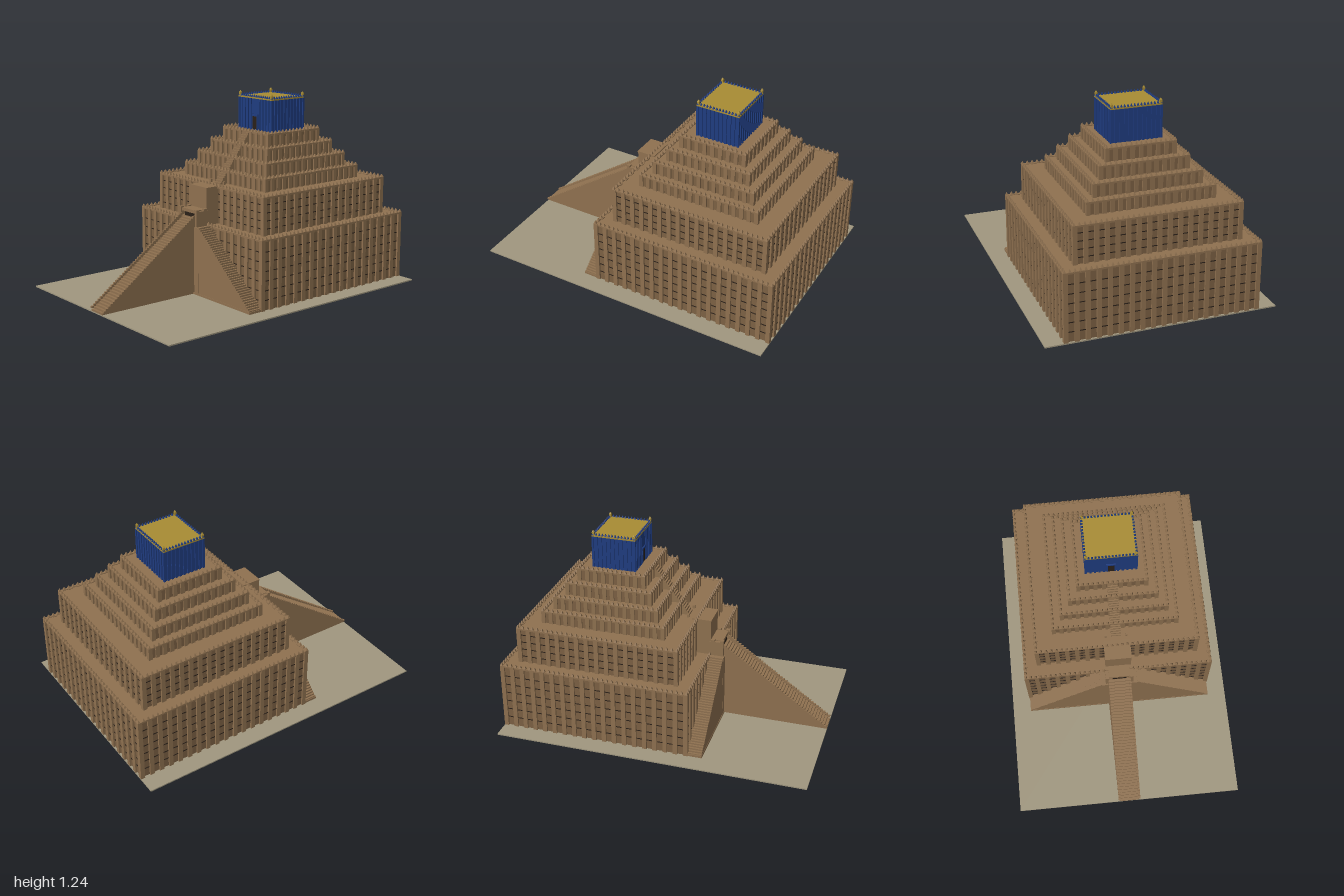
import * as THREE from 'three';
import { mergeGeometries } from 'three/addons/utils/BufferGeometryUtils.js';

const CZ = -0.385; // centre of the tower along z
const GROUND = 0.008;

const mat = (color) => new THREE.MeshStandardMaterial({ color, flatShading: true });
const BRICK = mat(0x8f7150), PANEL = mat(0x7c6144), DARK = mat(0x2a2018);
const BLUE = mat(0x1f3c80), GOLD = mat(0xa88c34), SAND = mat(0xa0977f);

// Box standing on height y
function box(w, h, d, x, y, z) {
  return new THREE.BoxGeometry(w, h, d).translate(x, y + h / 2, z);
}

// Pointed merlon standing on height y
function merlon(r, h, x, y, z) {
  return new THREE.CylinderGeometry(r * 0.2, r, h, 4).rotateY(Math.PI / 4).translate(x, y + h / 2, z);
}

// Merge pieces into one named mesh
function part(name, material, pieces) {
  const mesh = new THREE.Mesh(mergeGeometries(pieces.map((g) => (g.index ? g.toNonIndexed() : g))), material);
  mesh.name = name;
  return mesh;
}

// Evenly spaced places on a rectangle's outline: x, z and whether the side faces x
function outline(hx, hz, spacing) {
  const places = [];
  const nx = Math.round((2 * hx) / spacing), nz = Math.round((2 * hz) / spacing);
  for (const s of [-1, 1]) {
    for (let i = 0; i <= nx; i++) places.push([-hx + (2 * hx * i) / nx, CZ + s * hz, false]);
    for (let i = 0; i <= nz; i++) places.push([s * hx, CZ - hz + (2 * hz * i) / nz, true]);
  }
  return places;
}

// Four thin walls around a rectangle
function frame(hx, hz, t, h, y) {
  const out = [];
  for (const s of [-1, 1]) {
    out.push(box(2 * hx, h, t, 0, y, CZ + s * (hz - t / 2)));
    out.push(box(t, h, 2 * (hz - t), s * (hx - t / 2), y, CZ));
  }
  return out;
}

// Solid flight of steps climbing along +x, extruded along +z
function flight(n, run, rise, width) {
  const s = new THREE.Shape();
  s.moveTo(0, 0);
  for (let i = 0; i < n; i++) {
    s.lineTo((run * i) / n, (rise * (i + 1)) / n);
    s.lineTo((run * (i + 1)) / n, (rise * (i + 1)) / n);
  }
  s.lineTo(run, 0);
  return new THREE.ExtrudeGeometry(s, { depth: width, bevelEnabled: false });
}

// Same flight turned to climb toward -z, centred on x
function frontFlight(n, run, rise, width, x, y, z) {
  return flight(n, run, rise, width).rotateY(Math.PI / 2).translate(x - width / 2, y, z);
}

// One terrace: core, buttresses, joint lines, parapet and merlons
function tier(name, half, y0, y1, spacing, strip, depth, joint) {
  const g = new THREE.Group();
  g.name = name;
  const core = half - depth, h = y1 - y0;
  g.add(part(name + 'Core', PANEL, [box(2 * core, h - 0.008, 2 * core, 0, y0, CZ)]));

  const ribs = outline(core - strip / 2 + depth, core, spacing).filter((p) => !p[2]);
  const sides = outline(core, core - strip / 2 + depth, spacing).filter((p) => p[2]);
  g.add(part(name + 'Buttresses', BRICK, [...ribs, ...sides].map(([x, z, faceX]) =>
    box(faceX ? 2 * depth : strip, h, faceX ? strip : 2 * depth, x, y0, z))));

  if (joint) {
    const lines = [];
    for (let y = y0 + joint; y < y1 - 0.02; y += joint) lines.push(...frame(core + 0.003, core + 0.003, 0.008, 0.005, y));
    g.add(part(name + 'Joints', DARK, lines));
  }

  g.add(part(name + 'Deck', BRICK, [box(2 * core - 0.004, 0.004, 2 * core - 0.004, 0, y1 - 0.009, CZ)]));
  g.add(part(name + 'Parapet', BRICK, frame(half - 0.002, half - 0.002, 0.014, 0.012, y1 - 0.012)));
  g.add(part(name + 'Merlons', BRICK, outline(half - 0.009, half - 0.009, 0.032).map(([x, z]) =>
    merlon(0.013, 0.019, x, y1 - 0.001, z))));
  return g;
}

function temple() {
  const g = new THREE.Group();
  g.name = 'temple';
  const hx = 0.158, hz = 0.137, y0 = 0.99, y1 = 1.2;
  g.add(part('templeWalls', BLUE, [box(2 * hx, y1 - y0, 2 * hz, 0, y0, CZ)]));
  // Ribs skip the doorway
  g.add(part('templeRibs', BLUE, outline(hx, hz, 0.0287)
    .filter(([x, z, faceX]) => faceX || z < CZ || Math.abs(x) > 0.025)
    .map(([x, z]) => box(0.013, y1 - y0, 0.013, x, y0, z))));
  g.add(part('door', DARK, [box(0.04, 0.085, 0.012, 0, 1.0, CZ + hz)]));
  g.add(part('doorSurround', BLUE, [
    box(0.01, 0.1, 0.016, -0.025, 1.0, CZ + hz), box(0.01, 0.1, 0.016, 0.025, 1.0, CZ + hz),
    box(0.06, 0.012, 0.016, 0, 1.085, CZ + hz)]));
  g.add(part('roof', GOLD, [box(0.326, 0.01, 0.284, 0, y1, CZ)]));
  g.add(part('roofMerlons', BLUE, outline(0.157, 0.136, 0.021).map(([x, z]) => merlon(0.009, 0.016, x, 1.209, z))));
  const horns = [];
  for (const x of [-0.154, 0.154]) for (const z of [-0.134, 0.134]) {
    horns.push(box(0.014, 0.02, 0.014, x, 1.209, CZ + z), merlon(0.01, 0.012, x, 1.229, CZ + z));
  }
  g.add(part('roofHorns', GOLD, horns));
  return g;
}

function stairs() {
  const g = new THREE.Group();
  g.name = 'stairs';
  // Long central flight between two stepped balustrades
  g.add(part('centralStair', BRICK, [frontFlight(42, 0.7, 0.485, 0.12, 0, GROUND, 1.0)]));
  g.add(part('balustrades', BRICK, [-0.066, 0.066].map((x) =>
    frontFlight(42, 0.69, 0.492, 0.013, x, GROUND + 0.014, 0.998))));

  // Side flights leaning on the front wall, mirrored
  g.add(part('sideStairs', BRICK, [
    flight(40, 0.49, 0.43, 0.1).translate(-0.605, GROUND + 0.01, 0.218),
    flight(40, 0.49, 0.43, 0.1).rotateY(Math.PI).translate(0.605, GROUND + 0.01, 0.318),
    box(1.22, 0.014, 0.104, 0, GROUND, 0.268)]));

  // Landing where the three flights meet
  g.add(part('landing', BRICK, [
    box(0.236, 0.435, 0.1, 0, GROUND, 0.269),
    box(0.17, 0.06, 0.08, 0, 0.44, 0.26),
    ...[-1, 1].flatMap((s) => [
      box(0.02, 0.1, 0.09, s * 0.08, 0.44, 0.265),
      box(0.024, 0.012, 0.024, s * 0.08, 0.54, 0.3),
      box(0.024, 0.012, 0.024, s * 0.08, 0.54, 0.24)]),
    box(0.14, 0.02, 0.08, 0, 0.525, 0.262)]));
  g.add(part('landingPassage', DARK, [box(0.09, 0.028, 0.07, 0, 0.499, 0.265)]));

  // Gatehouse against the second terrace
  g.add(part('gatehouse', BRICK, [
    box(0.164, 0.245, 0.12, 0, 0.436, 0.165),
    box(0.17, 0.008, 0.126, 0, 0.676, 0.165),
    ...[-1, 1].map((s) => box(0.014, 0.02, 0.014, s * 0.066, 0.68, 0.07))]));

  // Narrow upper flight to the temple
  g.add(part('upperStair', BRICK, [frontFlight(24, 0.25, 0.325, 0.064, 0, 0.675, 0.07)]));
  return g;
}

export function createModel() {
  const model = new THREE.Group();
  model.name = 'steppedTempleTower';
  model.add(part('ground', SAND, [box(1.456, GROUND, 2, 0, 0, 0)]));
  // name, half width, bottom, top, buttress spacing, strip width, depth, joint spacing
  const tiers = [
    ['firstTerrace', 0.615, GROUND, 0.447, 0.066, 0.028, 0.012, 0.06],
    ['secondTerrace', 0.527, 0.43, 0.682, 0.066, 0.028, 0.012, 0.05],
    ['thirdTerrace', 0.405, 0.67, 0.76, 0.05, 0.026, 0.009, 0],
    ['fourthTerrace', 0.345, 0.745, 0.84, 0.05, 0.026, 0.009, 0],
    ['fifthTerrace', 0.285, 0.825, 0.92, 0.05, 0.026, 0.009, 0],
    ['sixthTerrace', 0.225, 0.905, 1.0, 0.05, 0.026, 0.009, 0],
  ];
  for (const t of tiers) model.add(tier(...t));
  model.add(temple(), stairs());
  return model;
}
